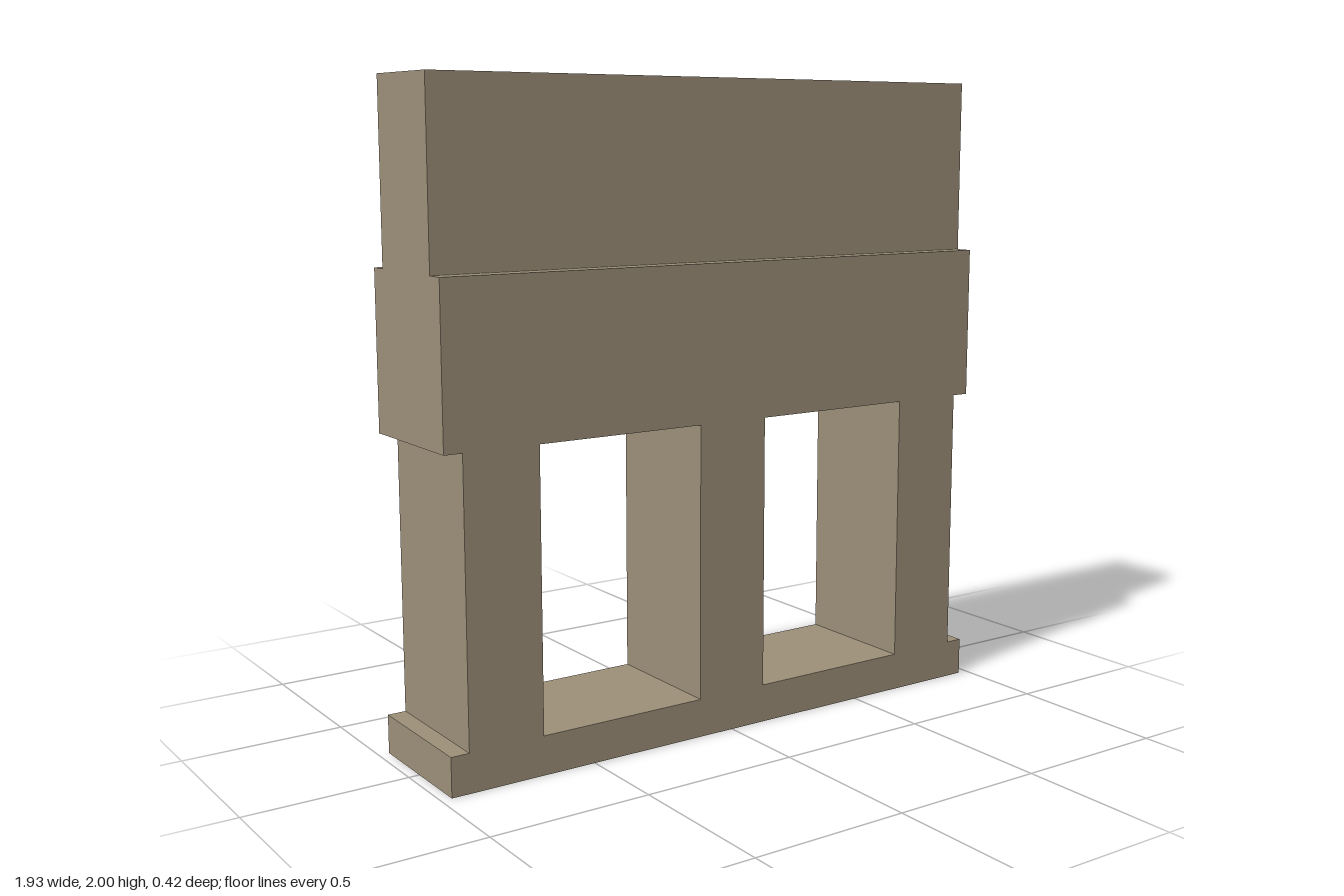
import * as THREE from 'three';

const HALF = 0.967, DEPTH = 0.42, WALL_DEPTH = 0.305;
const BASE_TOP = 0.12, LINTEL_BOTTOM = 0.975, LINTEL_TOP = 1.457, TOP = 2;
const PILLARS = [[-0.91, -0.67], [-0.12, 0.12], [0.67, 0.91]];

export function createModel() {
  const model = new THREE.Group();
  model.name = 'threePillarWall';
  const material = new THREE.MeshStandardMaterial({ color: 0x9c8f79, side: THREE.DoubleSide });

  function add(name, geometry, x, y, z) {
    const mesh = new THREE.Mesh(geometry, material);
    mesh.name = name;
    mesh.position.set(x, y, z);
    model.add(mesh);
  }

  // Hollow block: sides always, top only when capped, never a bottom
  function shell(name, x0, x1, y0, y1, depth, capped = false) {
    const box = new THREE.BoxGeometry(x1 - x0, y1 - y0, depth);
    const faces = capped ? [0, 1, 2, 4, 5] : [0, 1, 4, 5];
    const index = box.getIndex().array;
    box.setIndex(faces.flatMap((f) => Array.from(index.slice(f * 6, f * 6 + 6))));
    box.clearGroups();
    add(name, box, (x0 + x1) / 2, (y0 + y1) / 2, 0);
  }

  // Horizontal sheet facing up (1) or down (-1)
  function sheet(name, x0, x1, y, z, depth, facing) {
    const plane = new THREE.PlaneGeometry(x1 - x0, depth).rotateX(-facing * Math.PI / 2);
    add(name, plane, (x0 + x1) / 2, y, z);
  }

  // Plinth, open underneath
  shell('base', -HALF, HALF, 0, BASE_TOP, DEPTH);

  // Pillars join the plinth and the lintel without inner floors
  PILLARS.forEach(([x0, x1], i) => {
    shell(`pillar${i + 1}`, x0, x1, BASE_TOP, LINTEL_BOTTOM, DEPTH);
  });

  // Floors and ceilings between and beside the pillars
  const stops = [-HALF, ...PILLARS.flat(), HALF];
  for (let i = 0; i < stops.length; i += 2) {
    sheet('baseTop', stops[i], stops[i + 1], BASE_TOP, 0, DEPTH, 1);
    sheet('lintelUnderside', stops[i], stops[i + 1], LINTEL_BOTTOM, 0, DEPTH, -1);
  }

  // Lintel with a narrow ledge along front and back
  shell('lintel', -HALF, HALF, LINTEL_BOTTOM, LINTEL_TOP, DEPTH);
  const ledge = (DEPTH - WALL_DEPTH) / 2;
  for (const side of [-1, 1]) {
    sheet('ledge', -HALF, HALF, LINTEL_TOP, side * (DEPTH - ledge) / 2, ledge, 1);
  }

  // Thinner wall above the lintel
  shell('upperWall', -HALF, HALF, LINTEL_TOP, TOP, WALL_DEPTH, true);

  return model;
}
